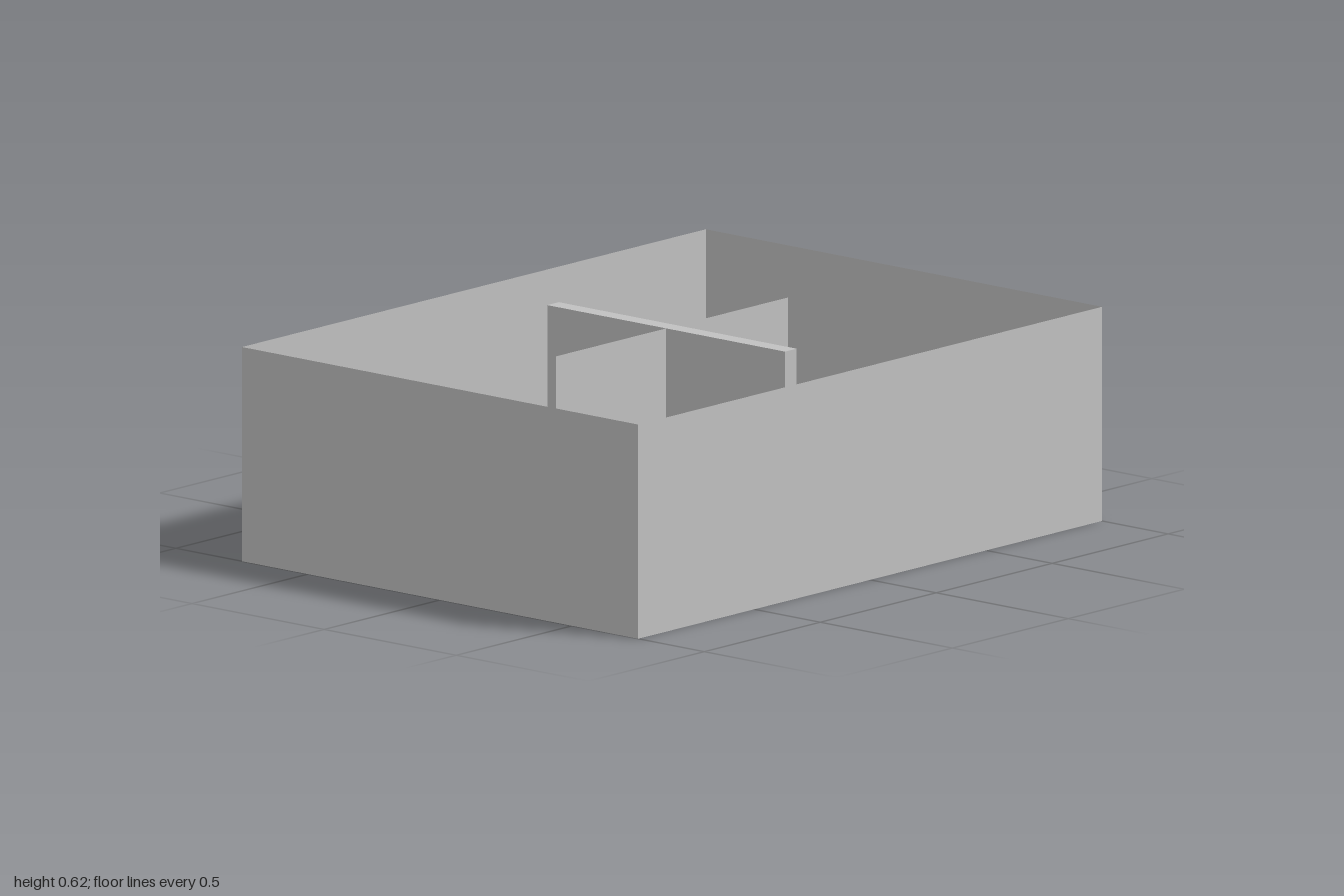
import * as THREE from 'three';

const W = 2, D = 1.5, H = 0.625;

export function createModel() {
  const model = new THREE.Group();
  const wallGrey = new THREE.MeshStandardMaterial({ color: 0xc0c0c0, side: THREE.DoubleSide });
  wallGrey.name = 'wallGrey';
  const floorGrey = new THREE.MeshStandardMaterial({ color: 0x808080 });
  floorGrey.name = 'floorGrey';

  const add = (name, geometry, material, x, y, z, turn = 0) => {
    const mesh = new THREE.Mesh(geometry, material);
    mesh.name = name;
    mesh.position.set(x, y, z);
    mesh.rotation.y = turn;
    model.add(mesh);
  };

  // Floor slab
  add('floor', new THREE.BoxGeometry(W - 0.002, 0.004, D - 0.002), floorGrey, 0, 0.002, 0);

  // Outer walls are thin sheets, each with a low skirting inside
  for (const s of [1, -1]) {
    const end = s > 0 ? 'front' : 'back';
    const side = s > 0 ? 'left' : 'right';
    add(end + 'Wall', new THREE.PlaneGeometry(W, H), wallGrey, 0, H / 2, s * D / 2, s > 0 ? 0 : Math.PI);
    add(side + 'Wall', new THREE.PlaneGeometry(D, H), wallGrey, s * W / 2, H / 2, 0, s * Math.PI / 2);
    add(end + 'Skirting', new THREE.BoxGeometry(W - 0.004, 0.025, 0.015), floorGrey, 0, 0.0125, s * (D / 2 - 0.009));
    add(side + 'Skirting', new THREE.BoxGeometry(0.015, 0.025, D - 0.034), floorGrey, s * (W / 2 - 0.009), 0.0125, 0);
  }

  // Thick dividing wall with a doorway, drawn in the z-y plane
  const outline = [[-0.45, 0.004], [-0.25, 0.004], [-0.25, 0.5], [-0.02, 0.5],
    [-0.02, 0.004], [0.45, 0.004], [0.45, H], [-0.45, H]];
  const shape = new THREE.Shape(outline.map(([z, y]) => new THREE.Vector2(z, y)));
  const divider = new THREE.ExtrudeGeometry(shape, { depth: 0.05, bevelEnabled: false });
  divider.rotateY(-Math.PI / 2);
  add('dividingWall', divider, wallGrey, 0.025, 0, 0);

  // Thin cross panels on either side of the dividing wall
  for (const s of [1, -1]) {
    add(s > 0 ? 'leftPanel' : 'rightPanel', new THREE.PlaneGeometry(0.475, H - 0.004), wallGrey,
      s * 0.2625, (H + 0.004) / 2, 0);
  }
  return model;
}
